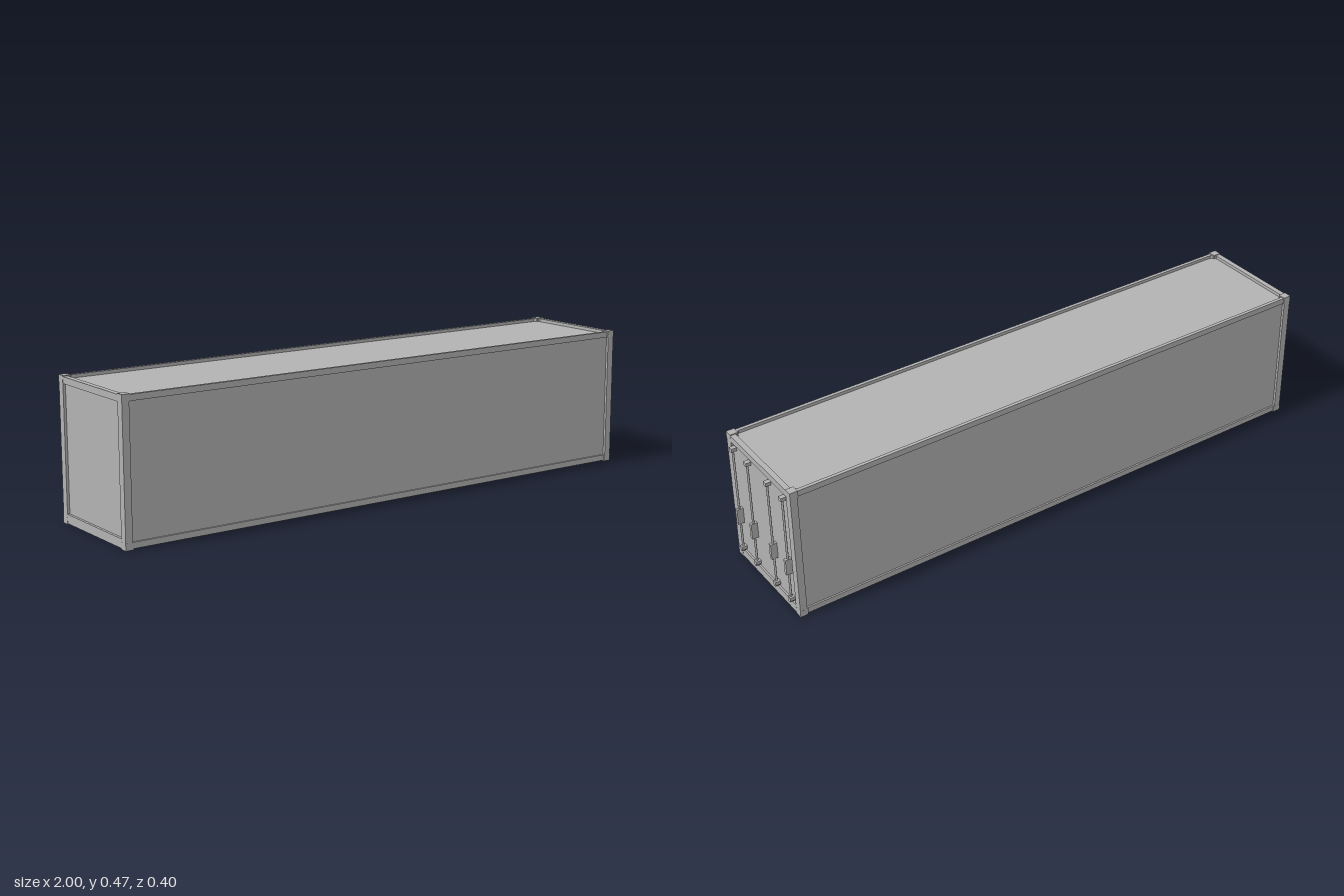
import * as THREE from 'three';

const X0 = -1, X1 = 0.985, W = 0.2, H = 0.475;
const MID = (X0 + X1) / 2, LEN = X1 - X0;
const RIM = 0.003; // castings stand proud of the rails by this much

// closed shape from [x, y] points
function outline(points, Type = THREE.Shape) {
  return new Type(points.map(([x, y]) => new THREE.Vector2(x, y)));
}
function rect(x0, y0, x1, y1, cut = 0) {
  if (!cut) return [[x0, y0], [x1, y0], [x1, y1], [x0, y1]];
  return [
    [x0 + cut, y0], [x1 - cut, y0], [x1, y0 + cut], [x1, y1 - cut],
    [x1 - cut, y1], [x0 + cut, y1], [x0, y1 - cut], [x0, y0 + cut],
  ];
}
function plate(outer, depth, hole) {
  const shape = outline(outer);
  if (hole) shape.holes.push(outline(hole, THREE.Path));
  return new THREE.ExtrudeGeometry(shape, { depth, bevelEnabled: false });
}

export function createModel() {
  const model = new THREE.Group();
  model.name = 'shippingContainer';
  const steel = new THREE.MeshStandardMaterial({ color: 0xb2b2b2 });
  steel.name = 'grey steel';

  function add(name, geometry, x = 0, y = 0, z = 0, parent = model) {
    const mesh = new THREE.Mesh(geometry, steel);
    mesh.name = name;
    mesh.position.set(x, y, z);
    parent.add(mesh);
    return mesh;
  }
  const box = (name, w, h, d, x, y, z, parent) =>
    add(name, new THREE.BoxGeometry(w, h, d), x, y, z, parent);

  // roof frame with cut inner corners, and the recessed roof sheet
  const roofFrame = plate(
    rect(X0 + RIM, -W + RIM, X1 - RIM, W - RIM), 0.02,
    rect(X0 + 0.019, -0.185, X1 - 0.019, 0.185, 0.016));
  roofFrame.rotateX(-Math.PI / 2);
  add('roofFrame', roofFrame, 0, H - RIM - 0.02, 0);
  box('roofPanel', LEN - 0.02, 0.004, 2 * W - 0.02, MID, 0.459, 0);

  // long sides: bottom rail and recessed wall; the underside stays open
  for (const s of [1, -1]) {
    box('bottomRail', LEN - 0.02, 0.02, 0.014, MID, 0.01 + RIM, s * (W - RIM - 0.007));
    box('sideWall', LEN - 0.02, 0.455, 0.004, MID, 0.235, s * (W - 0.011));
    for (const x of [X0 + 0.013, X1 - 0.013]) {
      box('cornerPost', 0.024, H - 0.02, 0.026, x, H / 2, s * (W - 0.0135));
    }
  }

  // end frames with recessed panels, extruded along x
  for (const [name, x, panelX] of [
    ['rear', X0 + 0.0005, X0 + 0.011], ['door', X1 - 0.0185, X1 - 0.009],
  ]) {
    const frame = plate(
      rect(-W + 0.0005, RIM, W - 0.0005, H - RIM), 0.018,
      rect(-0.173, 0.033, 0.173, 0.45));
    frame.rotateY(Math.PI / 2);
    add(name + 'Frame', frame, x, 0, 0);
    box(name + 'Panel', 0.004, 0.43, 0.36, panelX, 0.2415, 0);
  }

  // corner castings
  for (const x of [X0 + 0.014, X1 - 0.014]) {
    for (const y of [0.0115, H - 0.0115]) {
      for (const z of [-W + 0.0135, W - 0.0135]) {
        box('cornerCasting', 0.028, 0.023, 0.027, x, y, z);
      }
    }
  }

  // locking bars on the doors
  const endBracket = plate([
    [-0.004, -0.011], [0.004, -0.011], [0.004, -0.007], [0.008, -0.005],
    [0.008, 0.007], [0.004, 0.009], [-0.004, 0.009], [-0.008, 0.007],
    [-0.008, -0.005], [-0.004, -0.007],
  ], 0.018);
  endBracket.rotateY(Math.PI / 2);
  const topBracket = plate([
    [-0.004, -0.008], [0.004, -0.008], [0.008, -0.005], [0.008, 0.007], [-0.008, 0.007], [-0.008, -0.005],
  ], 0.018);
  topBracket.rotateY(Math.PI / 2);
  for (const z of [0.156, 0.063, -0.062, -0.155]) {
    const bar = new THREE.Group();
    bar.name = 'lockingBar';
    bar.position.z = z;
    model.add(bar);
    add('rod', new THREE.CylinderGeometry(0.0037, 0.0037, 0.39, 12), 0.989, 0.24, 0, bar);
    box('handle', 0.022, 0.057, 0.012, 0.989, 0.1765, 0, bar);
    add('lowerBracket', endBracket, 0.979, 0.049, 0, bar);
    add('upperBracket', topBracket, 0.979, 0.433, 0, bar);
  }

  return model;
}
